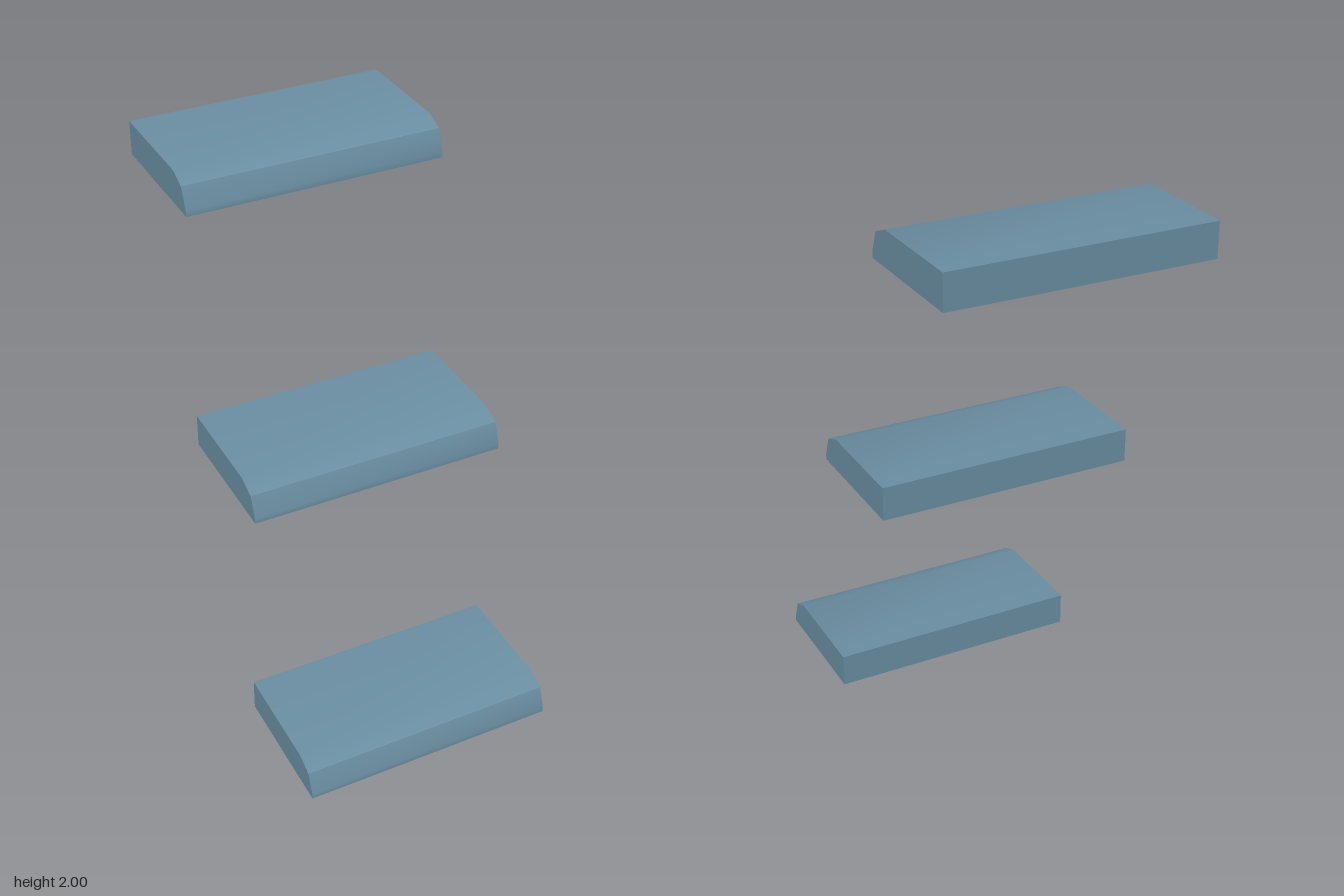
import * as THREE from 'three';
import { toCreasedNormals } from 'three/addons/utils/BufferGeometryUtils.js';

const WIDTH = 0.95;

// Side profile of one step: x runs back to front, y is up
function stepGeometry() {
  const profile = new THREE.Shape([
    [0, 0], [0.5, 0], [0.5, 0.02], [0.47, 0.097], [0.4, 0.125], [0, 0.125],
  ].map(([x, y]) => new THREE.Vector2(x, y)));
  const geometry = new THREE.ExtrudeGeometry(profile, { depth: WIDTH, bevelEnabled: false });
  geometry.translate(0, 0, -WIDTH / 2);
  geometry.rotateY(-Math.PI / 2);
  // Soft shading over the nosing, sharp at the steeper corners
  return toCreasedNormals(geometry, 0.6);
}

export function createModel() {
  const model = new THREE.Group();
  model.name = 'floatingSteps';
  const geometry = stepGeometry();
  const material = new THREE.MeshStandardMaterial({ color: 0x6b8fa3 });

  // Height of the underside and depth of the back edge, bottom to top
  const steps = [['lowerStep', 0, 0.2], ['middleStep', 0.94, -0.223], ['upperStep', 1.875, -0.7]];
  for (const [name, y, z] of steps) {
    const step = new THREE.Mesh(geometry, material);
    step.name = name;
    step.position.set(0, y, z);
    model.add(step);
  }
  return model;
}
